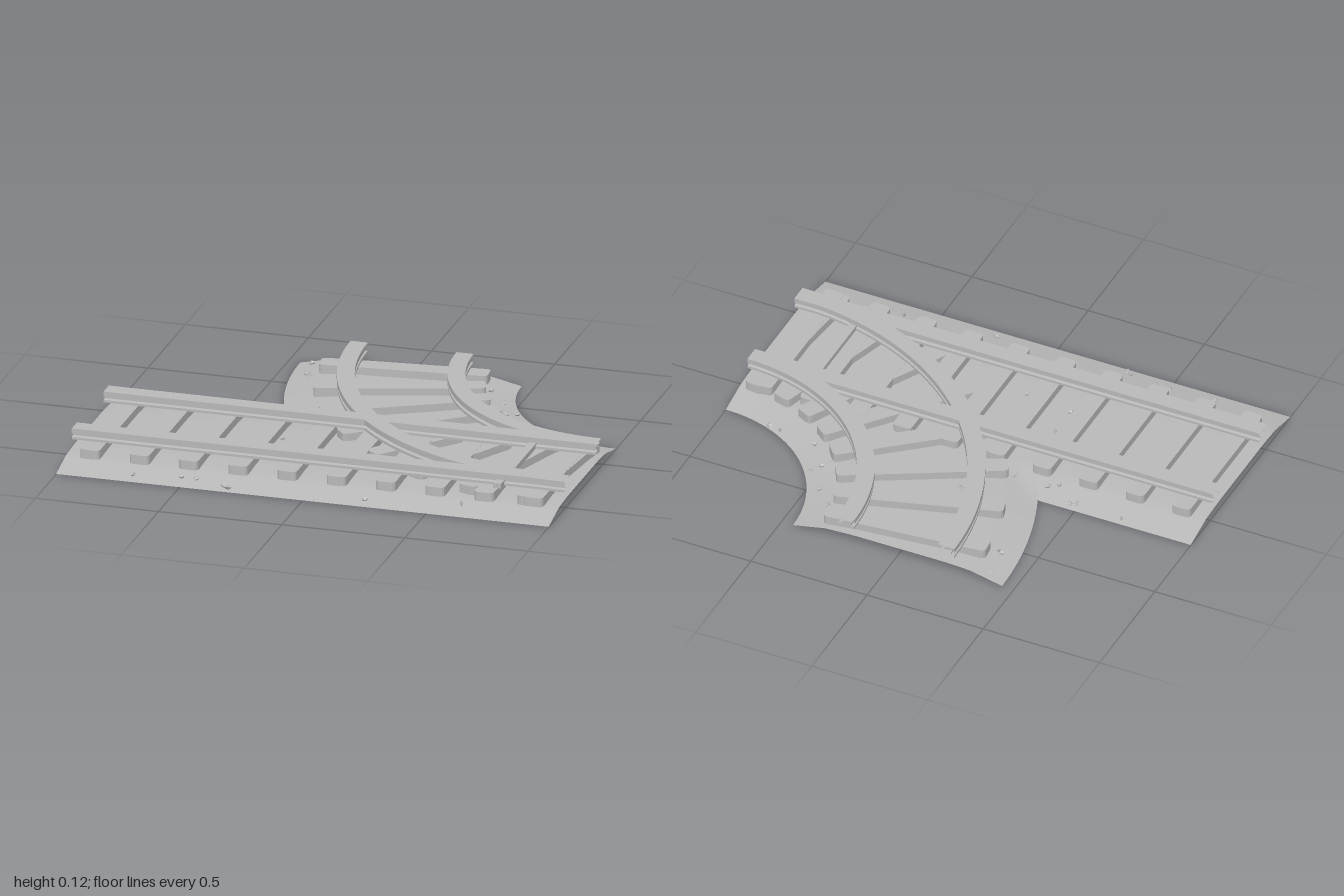
import * as THREE from 'three';
import { toCreasedNormals } from 'three/addons/utils/BufferGeometryUtils.js';

const BEND_Z = -0.725; // the branch turns about (1, BEND_Z)
const MID_Z = 0.275; // centre line of the straight track

// Paths: t runs along the track, o is the offset across it
const straight = (t, o, y) => [2 * t - 1, y, o];
const bend = (t, o, y) => {
  const a = t * Math.PI / 2;
  return [1 - o * Math.cos(a), y, BEND_Z + o * Math.sin(a)];
};

// Sweeps a list of [offset, height] points along a path
function sweep(profile, path, steps, closed) {
  const pos = [], index = [], n = profile.length;
  for (let i = 0; i <= steps; i++) {
    for (const [o, y] of profile) pos.push(...path(i / steps, o, y));
  }
  for (let i = 0; i < steps; i++) {
    for (let j = 0; j < (closed ? n : n - 1); j++) {
      const k = (j + 1) % n, a = i * n, b = a + n;
      index.push(a + j, b + j, a + k, b + j, b + k, a + k);
    }
  }
  const geo = new THREE.BufferGeometry();
  geo.setAttribute('position', new THREE.Float32BufferAttribute(pos, 3));
  geo.setIndex(index);
  return toCreasedNormals(geo, 0.5);
}

// Height of one ballast bed at distance d from its centre line
function bedHeight(d) {
  if (d < 0.2) return 0.036;
  if (d < 0.31) return 0.036 - (d - 0.2) * 0.05;
  return Math.max(0, 0.0305 * (0.45 - d) / 0.14);
}

// Both beds merge where they overlap
function groundHeight(x, z) {
  const r = Math.hypot(x - 1, z - BEND_Z);
  return Math.max(bedHeight(Math.abs(z - MID_Z)), bedHeight(Math.abs(r - 1)));
}

// Thin ballast sheet with a top and an underside
function ballast(path, centre, steps) {
  const onGround = (lift) => (t, o) => {
    const [x, , z] = path(t, o, 0);
    return [x, groundHeight(x, z) + lift, z];
  };
  const across = [];
  for (let i = 0; i <= 26; i++) across.push([centre + 0.45 - 0.9 * i / 26, 0]);
  return [
    sweep(across, onGround(0.002), steps, false),
    sweep([...across].reverse(), onGround(0), steps, false),
  ];
}

// Rail section: wide head, narrow web, wide foot
function rail(path, centre, steps) {
  const right = [[0.034, 0.07], [0.034, 0.08], [0.02, 0.083], [0.02, 0.09], [0.035, 0.094], [0.035, 0.115]];
  const left = right.map(([o, y]) => [-o, y]).reverse();
  return sweep([...right, ...left].map(([o, y]) => [centre + o, y]), path, steps, true);
}

// Sleeper with rounded corners, lying along z with its top at y = 0
function sleeperGeometry(width, length) {
  const w = width / 2, l = length / 2, r = 0.02;
  const s = new THREE.Shape();
  s.moveTo(-w + r, -l);
  s.lineTo(w - r, -l);
  s.quadraticCurveTo(w, -l, w, -l + r);
  s.lineTo(w, l - r);
  s.quadraticCurveTo(w, l, w - r, l);
  s.lineTo(-w + r, l);
  s.quadraticCurveTo(-w, l, -w, l - r);
  s.lineTo(-w, -l + r);
  s.quadraticCurveTo(-w, -l, -w + r, -l);
  const geo = new THREE.ExtrudeGeometry(s, { depth: 0.037, bevelEnabled: false, curveSegments: 3 });
  return geo.rotateX(Math.PI / 2);
}

export function createModel() {
  const model = new THREE.Group();
  model.name = 'railwayJunction';
  const grey = new THREE.MeshStandardMaterial({ color: 0xb8b8b8 });
  grey.name = 'grey';
  const add = (name, geo) => {
    const mesh = new THREE.Mesh(geo, grey);
    mesh.name = name;
    model.add(mesh);
    return mesh;
  };

  // Ballast beds
  for (const geo of ballast(straight, MID_Z, 80)) add('straightBallast', geo);
  for (const geo of ballast(bend, 1, 48)) add('branchBallast', geo);

  // Rails
  for (const z of [0.055, 0.48]) add('straightRail', rail(straight, z, 1));
  for (const r of [0.78, 1.21]) add('branchRail', rail(bend, r, 32));

  // Straight sleepers
  const sleeper = sleeperGeometry(0.08, 0.67);
  for (let i = 0; i < 10; i++) {
    add('straightSleeper', sleeper).position.set(-0.9 + 0.2 * i, 0.07, MID_Z);
  }

  // Branch sleepers fan around the bend
  for (let i = 0; i < 8; i++) {
    const t = (i + 0.5) / 8;
    const mesh = add('branchSleeper', sleeper);
    mesh.position.set(...bend(t, 1, 0.069));
    mesh.rotation.y = (t - 1) * Math.PI / 2;
  }

  // Switch rod beneath the rail heads
  add('switchRod', new THREE.BoxGeometry(0.032, 0.02, 0.5)).position.set(0.738, 0.08, 0.3);

  // Loose stones as [x, z]
  const stones = [
    [-0.39, -0.69], [-0.36, -0.55], [-0.37, -0.56], [-0.06, -0.28], [0.02, -0.16], [-0.69, -0.15],
    [-0.5, -0.14], [-0.47, -0.15], [-0.39, -0.08], [-0.35, -0.1], [-0.21, -0.1], [0.37, -0.58],
    [0.45, -0.49], [0.5, -0.36], [0.53, -0.4], [0.58, -0.25], [0.75, -0.21], [0.8, -0.2],
    [-0.24, 0.2], [-0.24, 0.34], [-0.04, 0.37], [-0.7, 0.68], [-0.51, 0.66], [-0.45, 0.66],
    [-0.33, 0.69], [-0.31, 0.7], [0.24, 0.68], [0.62, 0.64],
  ];
  const stone = new THREE.OctahedronGeometry(0.016);
  stones.forEach(([x, z], i) => {
    const mesh = add('stone', stone);
    mesh.position.set(x, groundHeight(x, z) + 0.007, z);
    mesh.rotation.set(0.3 * Math.sin(i), i * 1.7, 0.4);
    mesh.scale.set(1, 0.7, 0.7 + 0.3 * Math.sin(i * 2.3));
  });

  return model;
}
